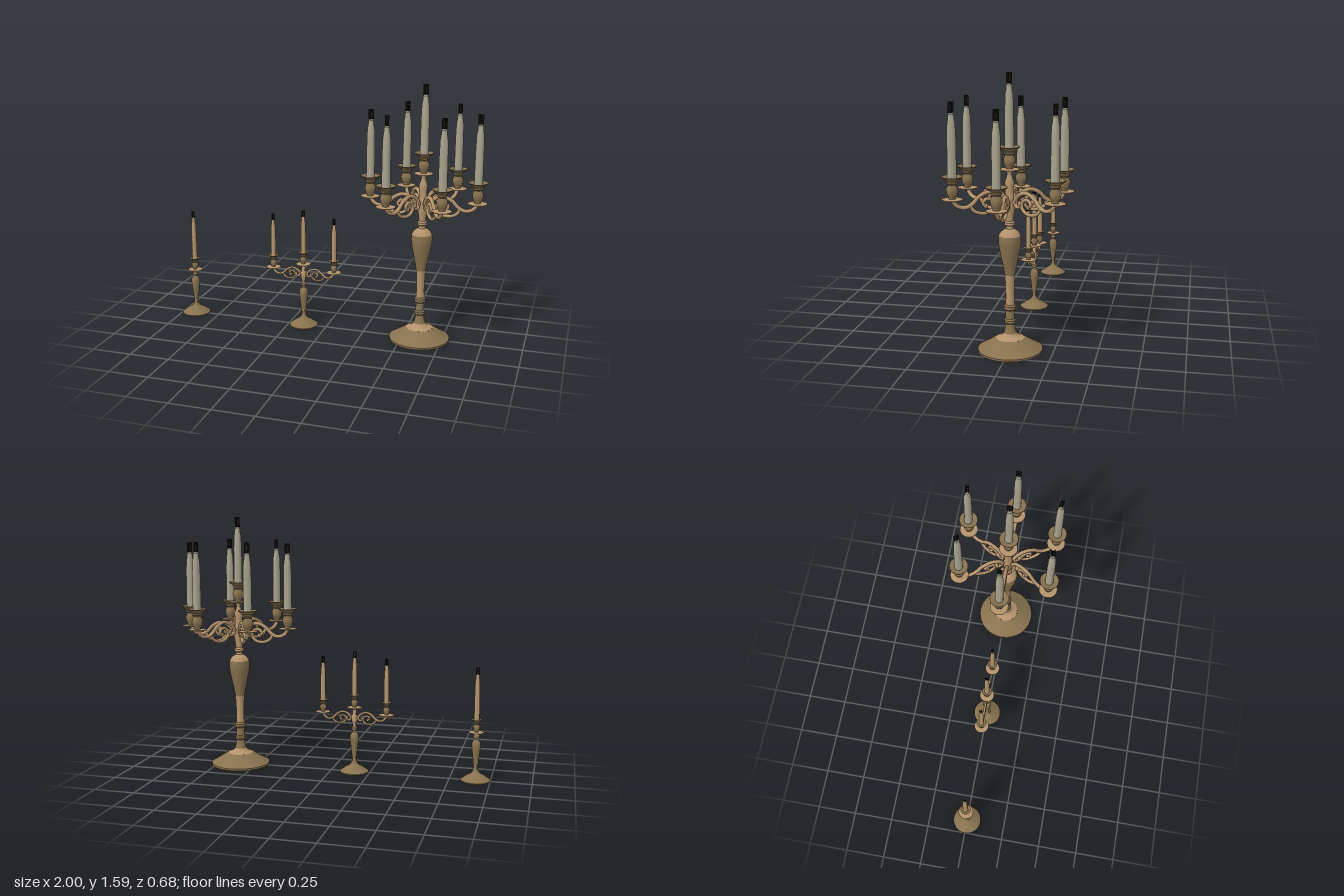
import * as THREE from 'three';
import { toCreasedNormals } from 'three/addons/utils/BufferGeometryUtils.js';

const mat = (name, color, side = THREE.FrontSide) => {
  const m = new THREE.MeshStandardMaterial({ color, side });
  m.name = name;
  return m;
};

export function createModel() {
  const darkBrass = mat('dark brass', 0x88724f);
  const lightBrass = mat('light brass', 0xb4936c);
  const paleWax = mat('pale wax', 0xa8a28d);
  const warmWax = mat('warm wax', 0xb3946c);
  const black = mat('black', 0x0c0b0a, THREE.DoubleSide);
  const ember = mat('ember', 0x6e5a3c, THREE.DoubleSide);
  const felt = mat('maroon felt', 0x5a2a2c);

  const add = (parent, name, geo, material, x = 0, y = 0, z = 0) => {
    const m = new THREE.Mesh(geo, material);
    m.name = name;
    m.position.set(x, y, z);
    parent.add(m);
    return m;
  };
  const group = (parent, name, x = 0, y = 0, z = 0) => {
    const g = new THREE.Group();
    g.name = name;
    g.position.set(x, y, z);
    parent.add(g);
    return g;
  };
  // turned part from [radius, height] pairs, bottom to top
  const turned = (parent, name, pts, material, seg = 28) =>
    add(parent, name, toCreasedNormals(new THREE.LatheGeometry(
      pts.map(([r, y]) => new THREE.Vector2(r, y)), seg), 0.65), material);

  // candle cup with drip plates, candle and crossed flame plates; y = 0 is the lower plate
  const holder = (parent, o, x, y) => {
    const g = group(parent, 'candleHolder', x, y);
    const h = o.h, c = o.cup;
    turned(g, 'lowerDripPlate', [[0, 0], [o.plate * 0.6, 0], [o.plate, h * 0.03],
      [o.plate, h * 0.06], [c * 0.6, h * 0.08], [0, h * 0.08]], lightBrass, 20);
    turned(g, 'cup', [[c * 0.6, h * 0.07], [c * 0.62, h * 0.15], [c * 0.85, h * 0.23], [c, h * 0.38],
      [c, h * 0.5], [c * 0.78, h * 0.6], [c * 0.75, h * 0.66], [c * 0.95, h * 0.72],
      [c * 0.95, h * 0.78], [c * 0.8, h * 0.82]], darkBrass, 20);
    turned(g, 'upperDripPlate', [[c * 0.8, h * 0.81], [o.rim * 0.8, h * 0.9], [o.rim, h * 0.97],
      [o.rim, h], [c * 0.8, h * 0.93], [0, h * 0.93]], darkBrass, 20);
    const r = o.wax, L = o.length;
    turned(g, 'candle', [[0, h * 0.9], [r, h * 0.9], [r * 0.95, h + L * 0.6], [r * 0.86, h + L * 0.82],
      [r * 0.68, h + L * 0.9], [r * 0.6, h + L * 0.98], [r * 0.35, h + L], [0, h + L]], o.waxMat, 16);
    for (const a of [0, Math.PI / 2]) {
      add(g, 'flamePlate', new THREE.PlaneGeometry(o.flameW, o.flameH), black,
        0, h + L + o.flameH / 2).rotation.y = a;
      add(g, 'flameStreak', new THREE.BoxGeometry(o.flameW * 0.12, o.flameH * 0.5, 0.002), ember,
        0, h + L + o.flameH * 0.45).rotation.y = a;
    }
  };

  // scrolled arm reaching out along +x
  const tube = (parent, name, pts, r) => {
    const curve = new THREE.CatmullRomCurve3(pts.map(([x, y]) => new THREE.Vector3(x, y, 0)));
    add(parent, name, new THREE.TubeGeometry(curve, 44, r, 8), lightBrass);
    const end = pts[pts.length - 1];
    add(parent, name + 'Tip', new THREE.SphereGeometry(r * 1.35, 10, 8), lightBrass, end[0], end[1]);
  };
  const scrollArm = (parent, s, y) => {
    const g = group(parent, 'scrollArm', 0, y);
    g.scale.setScalar(s);
    tube(g, 'archScroll', [[0.327, 0.895], [0.31, 0.865], [0.28, 0.847], [0.245, 0.846], [0.212, 0.865],
      [0.175, 0.902], [0.125, 0.923], [0.075, 0.91], [0.042, 0.875], [0.045, 0.845],
      [0.07, 0.838], [0.08, 0.86]], 0.012);
    tube(g, 'lowerScroll', [[0.225, 0.856], [0.208, 0.825], [0.168, 0.806], [0.12, 0.81], [0.09, 0.84],
      [0.1, 0.877], [0.135, 0.885], [0.155, 0.862], [0.138, 0.846]], 0.0105);
    add(g, 'hubLink', new THREE.CylinderGeometry(0.011, 0.011, 0.05, 8), lightBrass,
      0.025, 0.865).rotation.z = Math.PI / 2;
  };

  const root = new THREE.Group();
  root.name = 'candlestickSet';

  // large candelabrum
  const large = group(root, 'largeCandelabrum', 0.61);
  turned(large, 'foot', [[0, 0], [0.187, 0], [0.187, 0.012], [0.145, 0.036], [0.105, 0.062],
    [0.082, 0.076]], darkBrass, 40);
  turned(large, 'footCollar', [[0.082, 0.076], [0.056, 0.085], [0.045, 0.092], [0.036, 0.105]], lightBrass);
  turned(large, 'lowerStem', [[0.036, 0.105], [0.028, 0.14], [0.026, 0.16], [0.034, 0.168], [0.034, 0.182],
    [0.026, 0.19], [0.025, 0.24], [0.035, 0.248], [0.035, 0.266], [0.026, 0.275]], darkBrass);
  turned(large, 'stem', [[0.026, 0.275], [0.024, 0.32], [0.026, 0.4], [0.029, 0.45]], lightBrass);
  turned(large, 'vase', [[0.029, 0.45], [0.04, 0.51], [0.053, 0.57], [0.062, 0.62], [0.065, 0.65],
    [0.062, 0.68]], darkBrass);
  turned(large, 'vaseShoulder', [[0.062, 0.68], [0.052, 0.7], [0.035, 0.713], [0.022, 0.72], [0.02, 0.735],
    [0.03, 0.742], [0.03, 0.756], [0.021, 0.765], [0.024, 0.8], [0.03, 0.83], [0.03, 0.88],
    [0.024, 0.9], [0.024, 0.96], [0.027, 0.985], [0.018, 1.01], [0.013, 1.03], [0.02, 1.05],
    [0, 1.05]], lightBrass);
  const big = { h: 0.135, plate: 0.058, rim: 0.059, cup: 0.033, wax: 0.026, length: 0.345,
    waxMat: paleWax, flameW: 0.033, flameH: 0.06 };
  holder(large, big, 0, 1.05);
  for (let i = 0; i < 6; i++) {
    const arm = group(large, 'arm', 0, i % 3 ? 0.014 : 0);
    arm.rotation.y = i * Math.PI / 3;
    scrollArm(arm, 1, 0);
    holder(arm, big, 0.327, 0.889);
  }

  // foot and vase shared by the two smaller pieces
  const smallBase = (g, underside) => {
    turned(g, 'foot', [[0.091, 0], [0.091, 0.006], [0.07, 0.02], [0.048, 0.036], [0.03, 0.045],
      [0.022, 0.055]], darkBrass, 32);
    add(g, 'footUnderside', new THREE.CircleGeometry(0.091, 32), underside).rotation.x = Math.PI / 2;
    turned(g, 'vase', [[0.022, 0.055], [0.015, 0.07], [0.014, 0.09], [0.018, 0.13], [0.024, 0.18],
      [0.028, 0.215], [0.027, 0.235], [0.02, 0.25], [0.011, 0.257]], darkBrass, 20);
  };
  const little = { h: 0.084, plate: 0.047, rim: 0.032, cup: 0.021, wax: 0.0165, length: 0.234,
    waxMat: warmWax, flameW: 0.022, flameH: 0.04 };

  // three-light candelabrum
  const medium = group(root, 'threeLightCandelabrum', -0.15);
  smallBase(medium, darkBrass);
  turned(medium, 'upperStem', [[0.011, 0.257], [0.01, 0.268], [0.017, 0.273], [0.017, 0.282], [0.011, 0.288],
    [0.013, 0.31], [0.018, 0.33], [0.018, 0.36], [0.013, 0.37], [0.014, 0.39], [0.009, 0.4],
    [0.012, 0.41], [0, 0.41]], lightBrass, 20);
  holder(medium, little, 0, 0.41);
  for (const a of [0, Math.PI]) {
    const arm = group(medium, 'arm');
    arm.rotation.y = a;
    scrollArm(arm, 0.62, -0.188);
    holder(arm, little, 0.203, 0.372);
  }

  // single candlestick
  const single = group(root, 'singleCandlestick', -0.91);
  smallBase(single, felt);
  turned(single, 'neck', [[0.011, 0.257], [0.011, 0.265], [0.018, 0.271], [0.018, 0.283], [0.012, 0.29],
    [0.014, 0.298], [0, 0.298]], lightBrass, 20);
  holder(single, { ...little, length: 0.278, wax: 0.017 }, 0, 0.298);

  return root;
}
